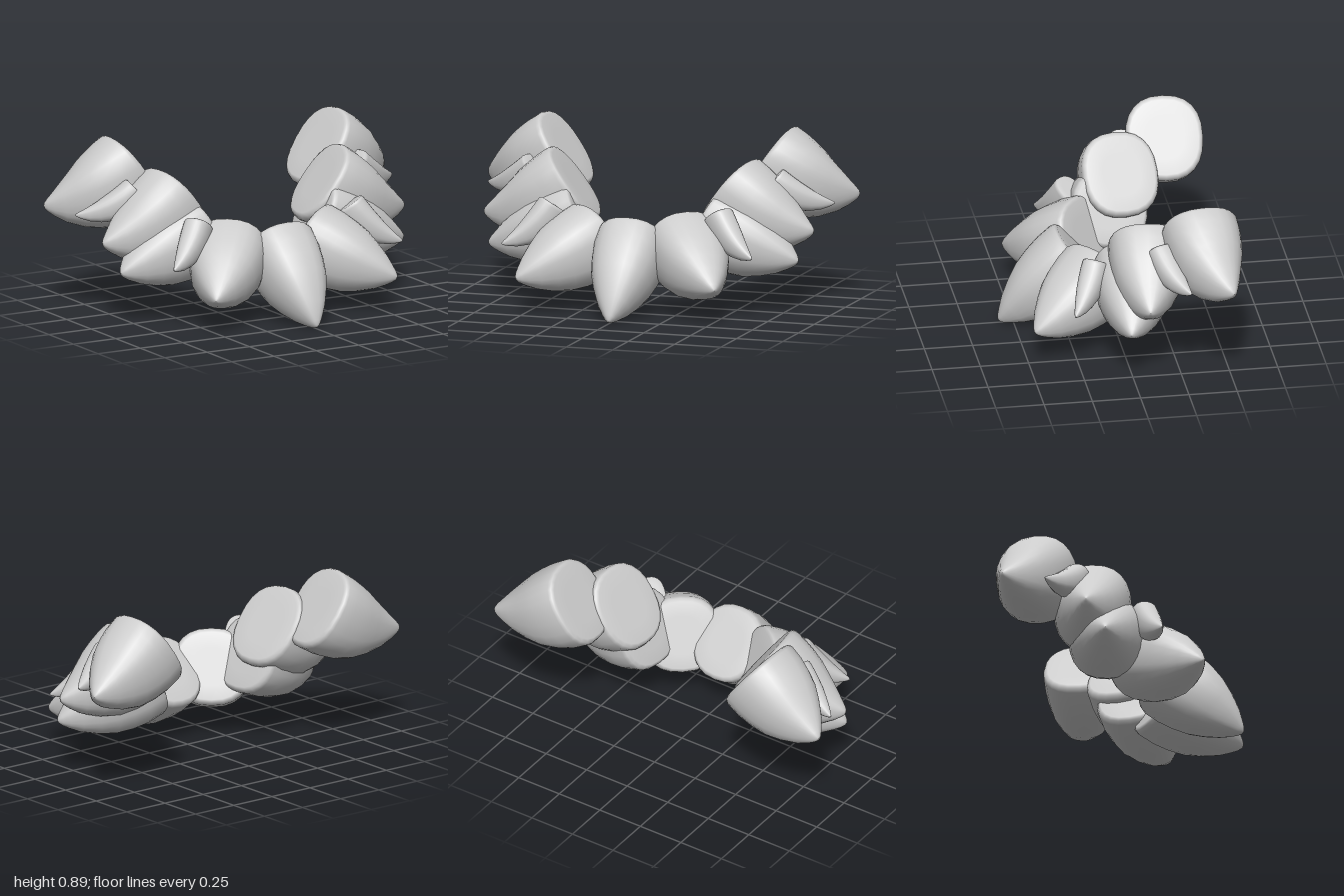
import * as THREE from 'three';

// [distance along the spike, fraction of the full radius]: flat root, soft rim, blunt tip
const PROFILE = [
  [0, 0], [0, 0.5], [0, 0.88], [0.015, 0.96], [0.05, 1], [0.2, 0.99], [0.35, 0.93], [0.5, 0.83],
  [0.65, 0.66], [0.8, 0.45], [0.9, 0.27], [0.96, 0.15], [0.99, 0.07], [1, 0],
];
const SIDES = 24;
const ROUNDNESS = 2.4; // 2 is a circle, higher is squarer

// Large spikes, from the middle of the collar outwards (model's left side)
// radii: [sideways, upright]
const LARGE = [
  { root: [0, 0.365, 0.155], axis: [0, -0.64, 0.77], tip: [0, 0.015, 0.575], radii: [0.185, 0.2] },
  { root: [0.225, 0.36, 0.085], axis: [0.57, -0.42, 0.7], tip: [0.535, 0.19, 0.47], radii: [0.2, 0.2] },
  { root: [0.335, 0.445, -0.06], axis: [0.9, -0.42, 0.1], tip: [0.835, 0.28, 0.02], radii: [0.2, 0.205] },
  { root: [0.41, 0.6, -0.125], axis: [0.8, -0.6, 0.1], tip: [0.89, 0.425, -0.07], radii: [0.2, 0.222] },
  { root: [0.54, 0.725, -0.37], axis: [0.82, -0.57, -0.05], tip: [1, 0.555, -0.485], radii: [0.2, 0.222] },
];
// Small spikes tucked between the large ones
const SMALL = [
  { root: [0.44, 0.52, 0.135], axis: [0.45, -0.8, 0.3], tip: [0.675, 0.33, 0.285], radii: [0.07, 0.085] },
  { root: [0.64, 0.66, -0.155], axis: [0.7, -0.65, -0.2], tip: [0.935, 0.54, -0.275], radii: [0.07, 0.08] },
];

// Slightly curved spike: rings swept along a bend that leaves the root along its axis
function spikeGeometry({ root, axis, tip, radii }, side) {
  const vec = ([x, y, z]) => new THREE.Vector3(x * side, y, z);
  const start = vec(root);
  const end = vec(tip);
  const control = vec(axis).setLength(start.distanceTo(end) * 0.55).add(start);
  const path = new THREE.QuadraticBezierCurve3(start, control, end);
  const up = new THREE.Vector3(0, 1, 0);
  const squarish = (value) => Math.sign(value) * Math.abs(value) ** (2 / ROUNDNESS);
  const positions = [];
  const indices = [];

  PROFILE.forEach(([t, width], i) => {
    const centre = path.getPoint(t);
    const along = path.getTangent(t);
    const u = new THREE.Vector3().crossVectors(up, along).normalize();
    const v = new THREE.Vector3().crossVectors(along, u);
    for (let j = 0; j < SIDES; j++) {
      const angle = (j / SIDES) * Math.PI * 2;
      const p = centre.clone()
        .addScaledVector(u, squarish(Math.cos(angle)) * width * radii[0])
        .addScaledVector(v, squarish(Math.sin(angle)) * width * radii[1]);
      positions.push(p.x, p.y, p.z);
      if (i === 0) continue;
      const next = (j + 1) % SIDES;
      const a = (i - 1) * SIDES + j;
      const b = (i - 1) * SIDES + next;
      const c = i * SIDES + j;
      const d = i * SIDES + next;
      indices.push(a, b, c, b, d, c);
    }
  });

  const geometry = new THREE.BufferGeometry();
  geometry.setAttribute('position', new THREE.Float32BufferAttribute(positions, 3));
  geometry.setIndex(indices);
  geometry.computeVertexNormals();
  return geometry;
}

export function createModel() {
  const collar = new THREE.Group();
  collar.name = 'spikedCollar';
  const material = new THREE.MeshStandardMaterial({ color: 0xcccccc });

  const addSpike = (spec, side, name) => {
    const mesh = new THREE.Mesh(spikeGeometry(spec, side), material);
    mesh.name = name;
    collar.add(mesh);
  };

  // Middle spike, then mirrored pairs
  addSpike(LARGE[0], 1, 'middleSpike');
  for (const [side, label] of [[1, 'left'], [-1, 'right']]) {
    LARGE.slice(1).forEach((spec, i) => addSpike(spec, side, `${label}LargeSpike${i + 1}`));
    SMALL.forEach((spec, i) => addSpike(spec, side, `${label}SmallSpike${i + 1}`));
  }
  return collar;
}
